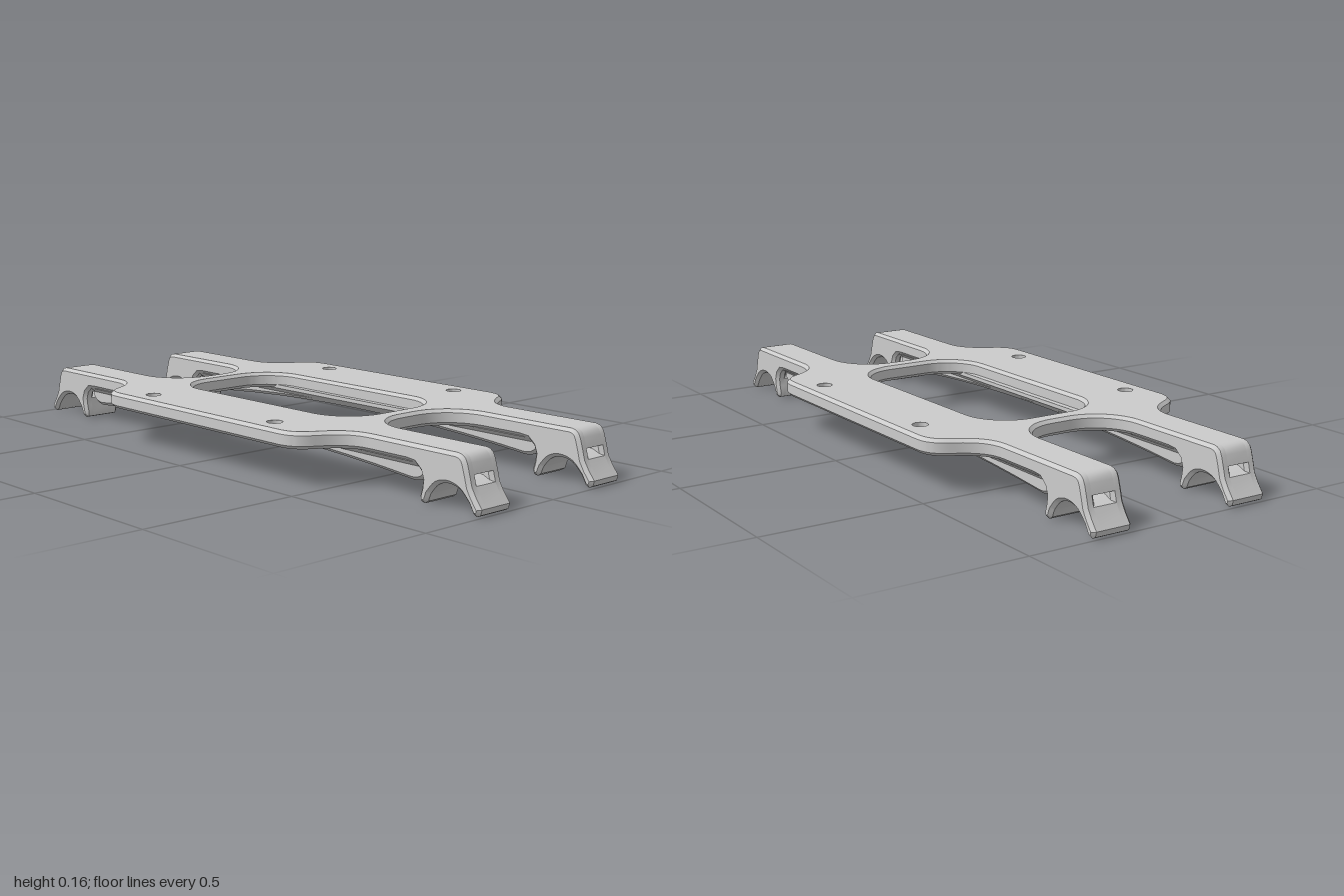
import * as THREE from 'three';
import { toCreasedNormals } from 'three/addons/utils/BufferGeometryUtils.js';

const ARM_Z = 0.235;      // centre line of each arm
const ARM_HALF = 0.065;   // half width of an arm
const SLOT_HALF = 0.0275; // half width of the strap slot
const BEVEL = 0.01;
const material = new THREE.MeshStandardMaterial({ color: 0xcccccc });

const toVectors = (list) => list.map(([x, y]) => new THREE.Vector2(x, y));

// Extrude from z0 to z1, chamfered inside the outline
function extrude(shape, z0, z1, bevel = BEVEL) {
  const geometry = new THREE.ExtrudeGeometry(shape, {
    depth: z1 - z0 - 2 * bevel,
    bevelEnabled: bevel > 0,
    bevelThickness: bevel,
    bevelSize: bevel,
    bevelOffset: -bevel,
    bevelSegments: 1,
    curveSegments: 12,
  });
  return geometry.translate(0, 0, z0 + bevel);
}

function addMesh(parent, name, geometry) {
  const mesh = new THREE.Mesh(toCreasedNormals(geometry, 0.6), material);
  mesh.name = name;
  parent.add(mesh);
}

// Flat frame: wide middle, four arms, window and screw holes
function plateGeometry() {
  const quarter = new THREE.Path();
  quarter.moveTo(0.38, 0.45);
  quarter.bezierCurveTo(0.43, 0.45, 0.455, 0.43, 0.475, 0.39);
  quarter.bezierCurveTo(0.505, 0.33, 0.54, 0.3, 0.6, 0.3);
  quarter.lineTo(0.76, 0.3);
  quarter.lineTo(0.76, 0.17);
  quarter.lineTo(0.6, 0.17);
  quarter.bezierCurveTo(0.525, 0.17, 0.46, 0.115, 0.46, 0.03);
  const points = quarter.getPoints(12);
  const back = [...points].reverse();
  const flip = (list, sx, sy) => list.map((p) => new THREE.Vector2(p.x * sx, p.y * sy));
  const shape = new THREE.Shape([
    ...points, ...flip(back, 1, -1), ...flip(points, -1, -1), ...flip(back, -1, 1),
  ]);

  const w = 0.4, h = 0.2, r = 0.13;
  const windowHole = new THREE.Path();
  windowHole.absarc(w - r, h - r, r, 0, Math.PI / 2);
  windowHole.absarc(r - w, h - r, r, Math.PI / 2, Math.PI);
  windowHole.absarc(r - w, r - h, r, Math.PI, Math.PI * 1.5);
  windowHole.absarc(w - r, r - h, r, Math.PI * 1.5, Math.PI * 2);
  windowHole.closePath();
  shape.holes.push(windowHole);

  const holeX = 0.29, holeY = 0.378, holeR = 0.024;
  for (const sx of [-1, 1]) for (const sy of [-1, 1]) {
    shape.holes.push(new THREE.Path().absarc(sx * holeX, sy * holeY, holeR, 0, Math.PI * 2));
  }
  const geometry = extrude(shape, 0.11, 0.16);

  // Keep the screw holes straight, without a chamfer
  const pos = geometry.attributes.position;
  for (let i = 0; i < pos.count; i++) {
    const cx = Math.sign(pos.getX(i)) * holeX, cy = Math.sign(pos.getY(i)) * holeY;
    const dx = pos.getX(i) - cx, dy = pos.getY(i) - cy;
    const d = Math.hypot(dx, dy);
    if (d > 0.001 && d < 0.045) pos.setXY(i, cx + dx * holeR / d, cy + dy * holeR / d);
  }
  return geometry.rotateX(-Math.PI / 2);
}

// Saddle clip at the end of an arm, with a strap slot above its arch
function createClip() {
  const clip = new THREE.Group();
  const arch = new THREE.SplineCurve(toVectors([
    [0.957, 0.032], [0.925, 0.062], [0.885, 0.072], [0.848, 0.062], [0.82, 0.032],
  ])).getPoints(20);
  const top = toVectors([
    [0.72, 0.112], [0.72, 0.16], [0.915, 0.16], [0.929, 0.157], [0.94, 0.149],
    [0.947, 0.135], [0.956, 0.105],
  ]);
  const lower = [
    ...toVectors([[0.964, 0.075], [0.979, 0.05], [1, 0.022], [0.996, 0.006], [0.984, 0], [0.972, 0.006]]),
    ...arch,
    ...toVectors([[0.812, 0.01], [0.8, 0.002], [0.787, 0.006], [0.783, 0.02], [0.79, 0.045], [0.793, 0.068]]),
  ];
  const inner = toVectors([[0.785, 0.09], [0.765, 0.107]]);
  const ceiling = toVectors([[0.925, 0.113], [0.885, 0.116], [0.83, 0.111]]);
  const floor = toVectors([[0.835, 0.09], [0.885, 0.097], [0.93, 0.09]]);

  const cheek = new THREE.Shape([...top, ...lower, ...inner]);
  addMesh(clip, 'clipCheekFront', extrude(cheek, SLOT_HALF, ARM_HALF));
  addMesh(clip, 'clipCheekBack', extrude(cheek, -ARM_HALF, -SLOT_HALF));

  const mid = SLOT_HALF + BEVEL;
  addMesh(clip, 'clipBridge', extrude(new THREE.Shape([...top, ...ceiling, ...inner]), -mid, mid, 0));
  addMesh(clip, 'clipSaddle', extrude(new THREE.Shape([...lower, ...floor]), -mid, mid, 0));
  return clip;
}

// Stiffening rib under an arm, shallowest in the middle
function ribGeometry() {
  const shape = new THREE.Shape();
  shape.moveTo(-0.785, 0.12);
  shape.lineTo(-0.785, 0.075);
  shape.quadraticCurveTo(-0.77, 0.05, -0.73, 0.05);
  shape.quadraticCurveTo(0, 0.12, 0.73, 0.05);
  shape.quadraticCurveTo(0.77, 0.05, 0.785, 0.075);
  shape.lineTo(0.785, 0.12);
  return extrude(shape, -0.036, 0.036);
}

// Flared root joining the rib to the plate
function ribRootGeometry() {
  const shape = new THREE.Shape(toVectors([
    [-0.055, 0.12], [-0.055, 0.108], [-0.035, 0.092], [0.035, 0.092], [0.055, 0.108], [0.055, 0.12],
  ]));
  return extrude(shape, -0.77, 0.77, 0).rotateY(Math.PI / 2);
}

export function createModel() {
  const model = new THREE.Group();
  model.name = 'mountingFrame';
  addMesh(model, 'plate', plateGeometry());

  for (const side of [1, -1]) {
    const arm = new THREE.Group();
    arm.name = side > 0 ? 'frontArm' : 'backArm';
    arm.position.z = side * ARM_Z;
    addMesh(arm, 'rib', ribGeometry());
    addMesh(arm, 'ribRoot', ribRootGeometry());
    for (const end of [1, -1]) {
      const clip = createClip();
      clip.name = end > 0 ? 'leftClip' : 'rightClip';
      clip.rotation.y = end > 0 ? 0 : Math.PI;
      arm.add(clip);
    }
    model.add(arm);
  }
  return model;
}
